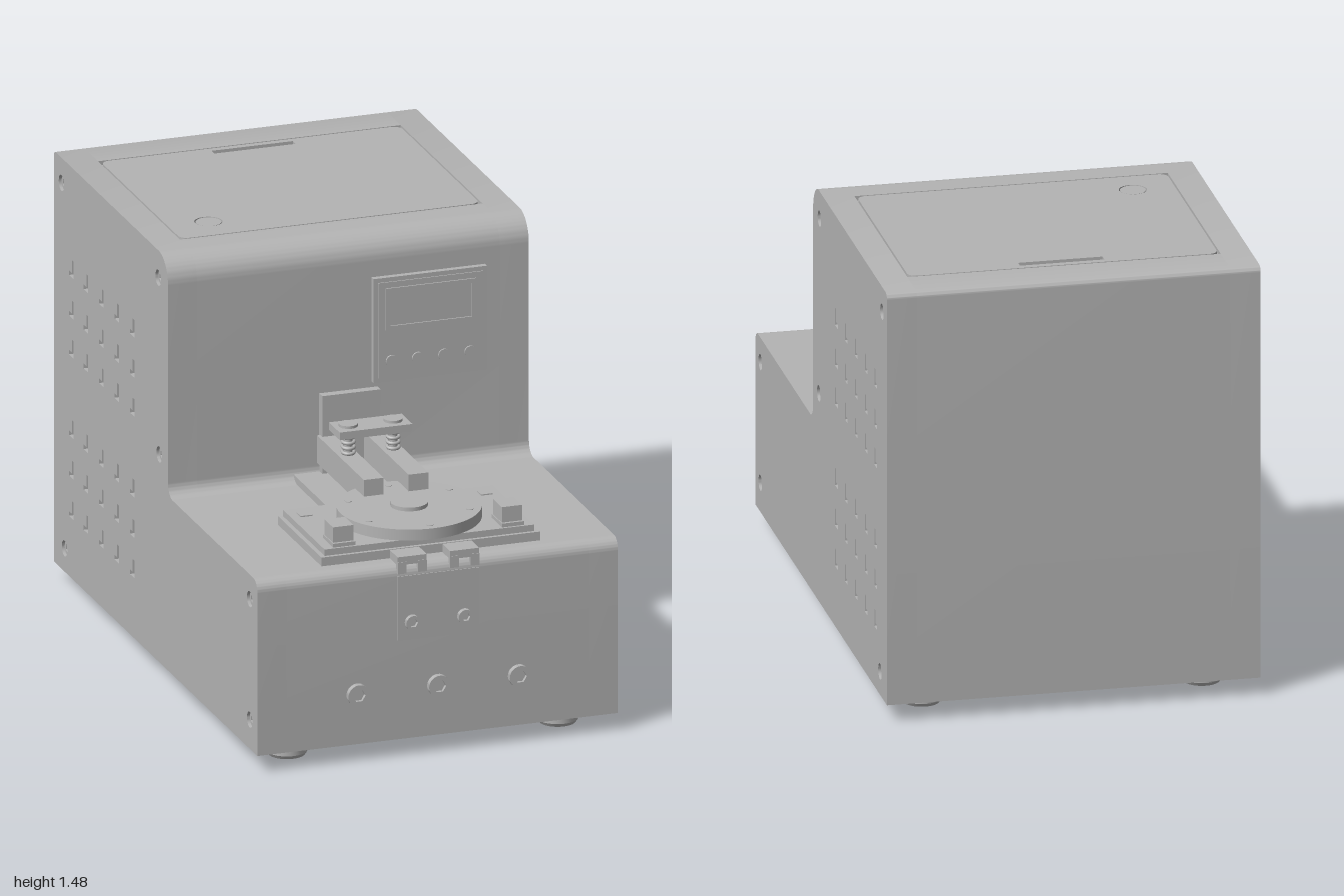
import * as THREE from 'three';
import { toCreasedNormals } from 'three/addons/utils/BufferGeometryUtils.js';

const grey = new THREE.MeshStandardMaterial({ color: 0xb4b4b4 });
grey.name = 'casing grey';

const TOP = 1.475;
const STEP = 0.66;
const FRONT = 0.98;
const WALL = 0.11;

function add(parent, name, geometry, x = 0, y = 0, z = 0) {
  const mesh = new THREE.Mesh(geometry, grey);
  mesh.name = name;
  mesh.position.set(x, y, z);
  parent.add(mesh);
  return mesh;
}

// Box given by its limits on each axis
function box(parent, name, [x0, x1], [y0, y1], [z0, z1]) {
  return add(parent, name, new THREE.BoxGeometry(x1 - x0, y1 - y0, z1 - z0),
    (x0 + x1) / 2, (y0 + y1) / 2, (z0 + z1) / 2);
}

// Upright cylinder standing at height y
function disc(parent, name, r, h, x, y, z, sides = 32, rBottom = r) {
  return add(parent, name, new THREE.CylinderGeometry(r, rBottom, h, sides), x, y + h / 2, z);
}

function circle(PathType, x, y, r) {
  const p = new PathType();
  p.absarc(x, y, r, 0, Math.PI * 2, false);
  return p;
}

function polygon(PathType, pts) {
  return new PathType(pts.map(([x, y]) => new THREE.Vector2(x, y)));
}

// Stepped side outline, drawn with u = -z; optional shallow pocket for the lid
function sideProfile(pocket) {
  const s = new THREE.Shape();
  s.moveTo(-FRONT, 0.06);
  s.lineTo(1, 0.06);
  s.absarc(0.98, TOP - 0.02, 0.02, 0, Math.PI / 2, false);
  if (pocket) {
    s.lineTo(0.853, TOP);
    s.lineTo(0.853, TOP - 0.015);
    s.lineTo(0.057, TOP - 0.015);
    s.lineTo(0.057, TOP);
  }
  s.absarc(-WALL + 0.09, TOP - 0.09, 0.09, Math.PI / 2, Math.PI, false);
  s.absarc(-WALL - 0.045, STEP + 0.045, 0.045, 0, -Math.PI / 2, true);
  s.absarc(-FRONT + 0.04, STEP - 0.04, 0.04, Math.PI / 2, Math.PI, false);
  return s;
}

function extrudeAlongX(shape, x0, x1) {
  const g = new THREE.ExtrudeGeometry(shape, { depth: x1 - x0, bevelEnabled: false, curveSegments: 10 });
  g.rotateY(Math.PI / 2);
  g.translate(x0, 0, 0);
  return toCreasedNormals(g, 0.5);
}

// Round socket screw whose axis points along +y
function socketScrew(name, r, h) {
  const g = new THREE.Group();
  g.name = name;
  const head = new THREE.Shape();
  head.absarc(0, 0, r, 0, Math.PI * 2, false);
  const hex = Array.from({ length: 6 }, (_, i) =>
    [Math.cos(i * Math.PI / 3) * r * 0.58, Math.sin(i * Math.PI / 3) * r * 0.58]);
  head.holes.push(polygon(THREE.Path, hex));
  const geo = new THREE.ExtrudeGeometry(head, { depth: h, bevelEnabled: false, curveSegments: 16 });
  geo.rotateX(-Math.PI / 2);
  add(g, 'screwHead', toCreasedNormals(geo, 0.6));
  disc(g, 'socketFloor', r * 0.9, h * 0.4, 0, 0, 0, 16);
  return g;
}

function createCasing(root) {
  add(root, 'casingCore', extrudeAlongX(sideProfile(true), -0.52, 0.52));

  // Side cheeks pierced by vents and screw wells
  const cheek = sideProfile(false);
  for (const y of [1.126, 0.987, 0.853, 0.575, 0.436, 0.297]) {
    for (const u of [0.238, 0.388, 0.537, 0.687, 0.83]) {
      const a = u - 0.021, b = u + 0.022, low = y - 0.03, t = 0.016;
      cheek.holes.push(polygon(THREE.Path,
        [[a, low], [b, low], [b, low + t], [a + t, low + t], [a + t, y + 0.03], [a, y + 0.03]]));
    }
  }
  const wells = [[-0.015, 1.38], [0.925, 1.388], [-0.025, 0.775], [-0.905, 0.575], [-0.905, 0.16], [0.895, 0.14]];
  for (const [u, y] of wells) cheek.holes.push(circle(THREE.Path, u, y, 0.027));
  for (const side of [-1, 1]) {
    const x0 = side > 0 ? 0.52 : -0.62;
    add(root, 'sideCheek', extrudeAlongX(cheek, x0, x0 + 0.1));
    for (const [u, y] of wells) {
      const screw = socketScrew('sideScrew', 0.024, 0.09);
      screw.rotation.z = -side * Math.PI / 2;
      screw.position.set(side * 0.521, y, -u);
      root.add(screw);
    }
  }

  // Inset lid with a grip slot and a round button
  const [x, z0, z1, r] = [0.514, -0.847, -0.063, 0.03];
  const lid = new THREE.Shape();
  lid.absarc(x - r, -z0 - r, r, 0, Math.PI / 2, false);
  lid.absarc(-x + r, -z0 - r, r, Math.PI / 2, Math.PI, false);
  lid.absarc(-x + r, -z1 + r, r, Math.PI, Math.PI * 1.5, false);
  lid.absarc(x - r, -z1 + r, r, Math.PI * 1.5, Math.PI * 2, false);
  lid.holes.push(circle(THREE.Path, -0.375, 0.19, 0.046));
  lid.holes.push(polygon(THREE.Path, [[-0.14, 0.797], [0.14, 0.797], [0.14, 0.825], [-0.14, 0.825]]));
  const lidGeo = new THREE.ExtrudeGeometry(lid, { depth: 0.015, bevelEnabled: false });
  lidGeo.rotateX(-Math.PI / 2);
  add(root, 'lid', toCreasedNormals(lidGeo, 0.6), 0, TOP - 0.015, 0);
  disc(root, 'lidButton', 0.042, 0.014, -0.375, TOP - 0.015, -0.19);

  // Feet
  for (const fx of [-0.465, 0.465]) for (const fz of [0.826, -0.815]) {
    disc(root, 'foot', 0.068, 0.05, fx, 0.012, fz);
    disc(root, 'footPad', 0.068, 0.012, fx, 0, fz, 32, 0.06);
  }
}

function createControls(root) {
  // Control panel on the upright wall
  box(root, 'controlPanel', [0.08, 0.47], [0.972, 1.33], [WALL - 0.01, 0.13]);
  box(root, 'panelFace', [0.095, 0.455], [0.987, 1.315], [0.13, 0.134]);
  const frame = polygon(THREE.Shape, [[0.12, 1.15], [0.43, 1.15], [0.43, 1.295], [0.12, 1.295]]);
  frame.holes.push(polygon(THREE.Path, [[0.135, 1.165], [0.415, 1.165], [0.415, 1.28], [0.135, 1.28]]));
  add(root, 'displayFrame', new THREE.ExtrudeGeometry(frame, { depth: 0.005, bevelEnabled: false }), 0, 0, 0.134);
  for (let i = 0; i < 4; i++) {
    const b = disc(root, 'panelButton', 0.02, 0.008, 0.14 + i * 0.09, 1.04, 0.136, 20);
    b.rotation.x = Math.PI / 2;
  }

  // Front screws and the thin plate behind the small pair
  box(root, 'frontPlate', [-0.14, 0.14], [0.4, 0.62], [FRONT - 0.01, FRONT + 0.003]);
  const fittings = [[-0.09, 0.46, 0.025], [0.09, 0.46, 0.025], [-0.277, 0.232, 0.037], [0, 0.232, 0.037], [0.277, 0.232, 0.037]];
  for (const [x, y, r] of fittings) {
    const s = socketScrew('frontScrew', r, 0.02);
    s.rotation.x = Math.PI / 2;
    s.position.set(x, y, FRONT);
    root.add(s);
  }
}

function createStage(root) {
  box(root, 'stageBase', [-0.375, 0.375], [0.65, 0.69], [0.485, 0.91]);
  box(root, 'stagePlate', [-0.36, 0.36], [0.69, 0.712], [0.495, 0.898]);
  disc(root, 'turntable', 0.236, 0.038, 0, 0.717, 0.7, 64);
  disc(root, 'turntableSpindle', 0.1, 0.01, 0, 0.71, 0.7);
  disc(root, 'turntableHub', 0.061, 0.014, 0, 0.754, 0.7);
  for (let i = 0; i < 6; i++) {
    const a = i * Math.PI / 3;
    disc(root, 'turntablePin', 0.012, 0.003, Math.sin(a) * 0.2, 0.754, 0.7 + Math.cos(a) * 0.2, 12);
  }
  for (const s of [-1, 1]) {
    box(root, 'stopBase', [s * 0.29 - 0.038, s * 0.29 + 0.038], [0.71, 0.725], [0.79, 0.89]);
    box(root, 'stopBlock', [s * 0.29 - 0.035, s * 0.29 + 0.035], [0.725, 0.778], [0.797, 0.88]);
    box(root, 'stagePad', [s * 0.31 - 0.02, s * 0.31 + 0.02], [0.71, 0.716], [0.54, 0.58]);
    // Clips folding over the front edge
    box(root, 'clipTop', [s * 0.09 - 0.05, s * 0.09 + 0.05], [0.66, 0.688], [0.9, 0.985]);
    for (const e of [-1, 1]) {
      const cx = s * 0.09 + e * 0.035;
      box(root, 'clipLeg', [cx - 0.015, cx + 0.015], [0.63, 0.67], [0.97, 0.987]);
    }
  }
}

function createClamp(root) {
  box(root, 'clampTrack', [-0.19, 0.19], [0.65, 0.685], [WALL, 0.465]);
  box(root, 'clampBackPlate', [-0.1, 0.1], [0.67, 0.952], [WALL - 0.005, 0.14]);
  box(root, 'clampBar', [-0.125, 0.125], [0.885, 0.911], [0.275, 0.38]);
  for (const x of [-0.077, 0.077]) {
    box(root, 'clampArm', [x - 0.034, x + 0.034], [0.717, 0.812], [0.12, 0.575]);
    disc(root, 'clampPost', 0.014, 0.09, x, 0.8, 0.327, 16);
    disc(root, 'clampScrewHead', 0.031, 0.009, x, 0.911, 0.327, 24);
    // Spring coils around the post
    for (let i = 0; i < 4; i++) {
      const coil = add(root, 'springCoil', new THREE.TorusGeometry(0.019, 0.006, 8, 24), x, 0.822 + i * 0.018, 0.327);
      coil.rotation.x = Math.PI / 2 + 0.1;
    }
  }
}

export function createModel() {
  const root = new THREE.Group();
  root.name = 'benchMachine';
  for (const [name, build] of Object.entries({
    casing: createCasing, controls: createControls, stage: createStage, clamp: createClamp,
  })) {
    const part = new THREE.Group();
    part.name = name;
    build(part);
    root.add(part);
  }
  return root;
}
